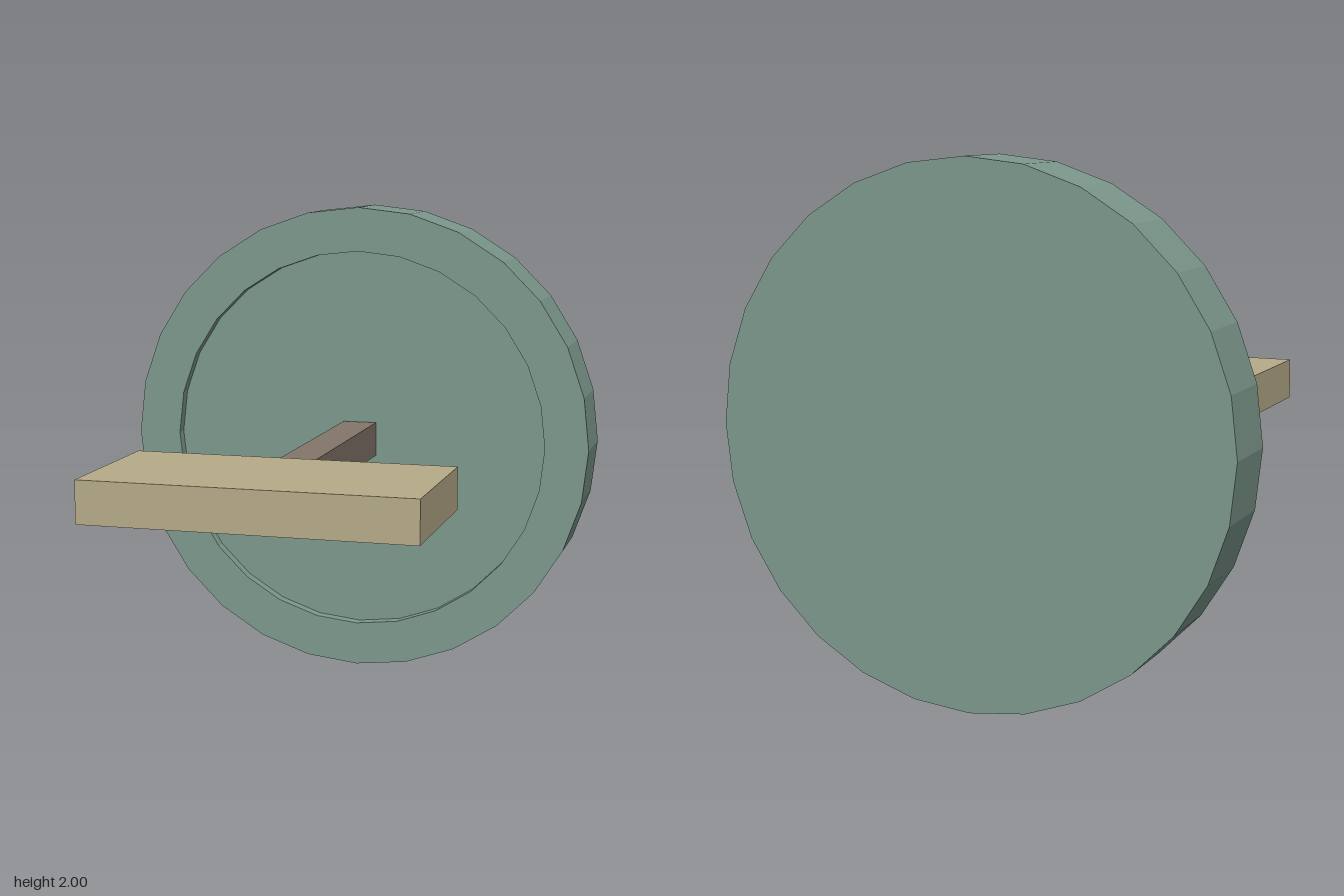
import * as THREE from 'three';

const material = (name, color) => {
  const m = new THREE.MeshStandardMaterial({ color, flatShading: true });
  m.name = name;
  return m;
};

export function createModel() {
  const green = material('sage green', 0x7c988c);
  const brown = material('warm brown', 0x83756a);
  const tan = material('tan', 0xb6aa88);
  const model = new THREE.Group();

  const add = (name, geometry, mat, x, y, z) => {
    const mesh = new THREE.Mesh(geometry, mat);
    mesh.name = name;
    mesh.position.set(x, y, z);
    model.add(mesh);
    return mesh;
  };

  // Round 28-sided disc with a shallow recess in its front, turned on the z axis
  const profile = [[0, 0], [1, 0], [1, 0.29], [0.815, 0.29], [0.815, 0.24], [0, 0.24]]
    .map(([r, h]) => new THREE.Vector2(r, h));
  const disc = new THREE.LatheGeometry(profile, 28).toNonIndexed();
  disc.computeVertexNormals();
  disc.rotateX(Math.PI / 2);
  add('disc', disc, green, 0, 1, -0.94);

  // Square shaft from the recess floor to the plate
  add('shaft', new THREE.BoxGeometry(0.145, 0.145, 0.995), brown, 0, 1.003, -0.1925);

  // Flat plate at the front end
  add('plate', new THREE.BoxGeometry(1.275, 0.165, 0.635), tan, 0, 1.003, 0.6225);

  return model;
}
